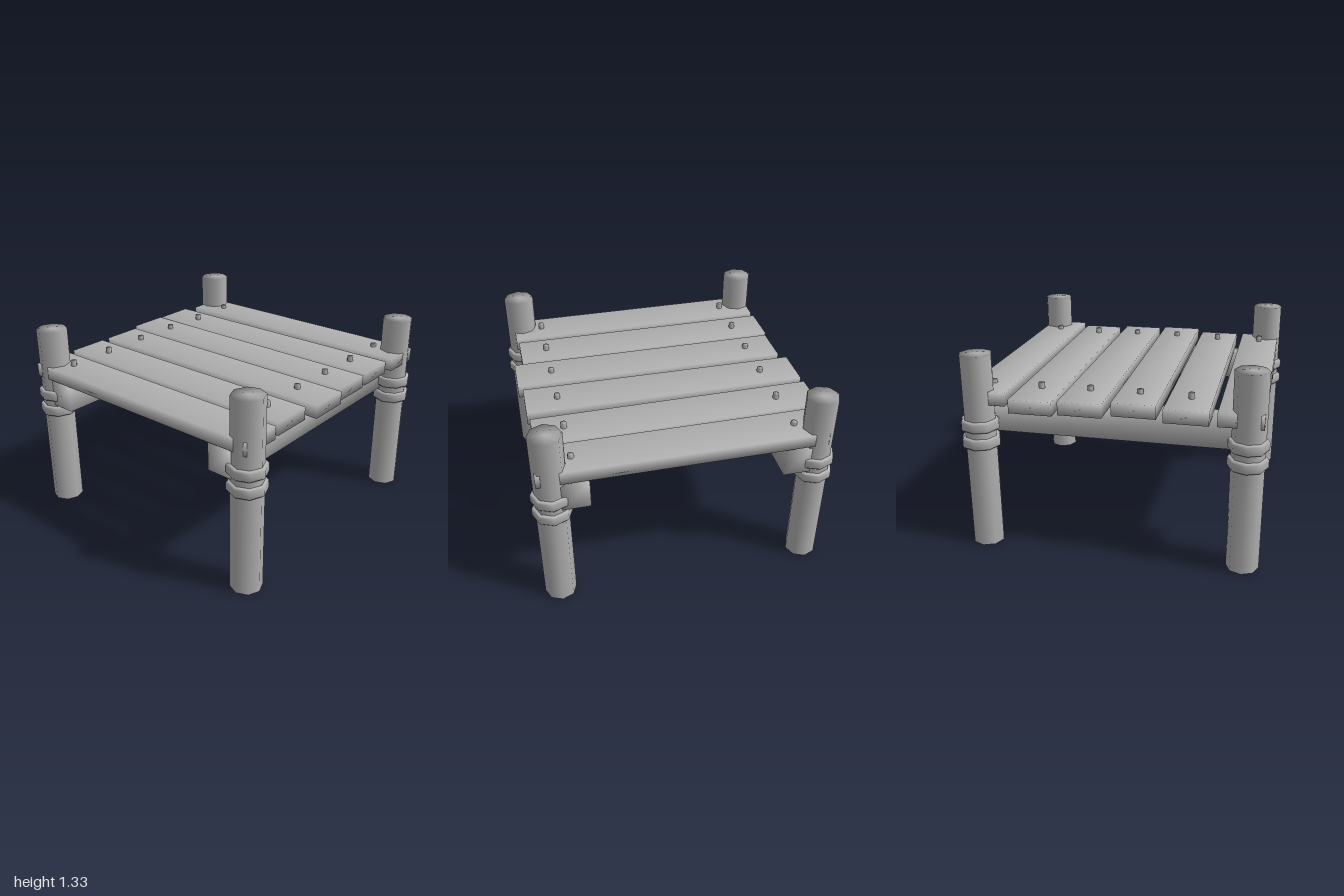
import * as THREE from 'three';
import { mergeVertices } from 'three/addons/utils/BufferGeometryUtils.js';

const wood = new THREE.MeshStandardMaterial({ color: 0xb0b0b0 });
wood.name = 'plain grey wood';

// Share every corner so shading flows softly over the edges
function soften(geometry) {
  geometry.deleteAttribute('normal');
  geometry.deleteAttribute('uv');
  const g = mergeVertices(geometry, 1e-4);
  g.computeVertexNormals();
  return g;
}

function add(parent, name, geometry, x, y, z, turn = 0) {
  const mesh = new THREE.Mesh(soften(geometry), wood);
  mesh.name = name;
  mesh.position.set(x, y, z);
  mesh.rotation.y = turn;
  parent.add(mesh);
}

export function createModel() {
  const model = new THREE.Group();
  model.name = 'plankPlatform';

  // Corner posts, each with two rope rings
  const ringProfile = [
    [0.095, -0.036], [0.12, -0.036], [0.13, -0.024],
    [0.13, 0.024], [0.12, 0.036], [0.095, 0.036],
  ].map(([r, y]) => new THREE.Vector2(r, y));
  for (const x of [-0.872, 0.872]) {
    for (const z of [-0.872, 0.872]) {
      add(model, 'post', new THREE.CylinderGeometry(0.107, 0.107, 1.33, 8), x, 0.665, z);
      for (const y of [0.74, 0.858]) {
        add(model, 'ropeRing', new THREE.LatheGeometry(ringProfile, 8), x, y, z);
      }
    }
  }

  // Cross beams under the deck
  for (const z of [-0.727, 0.727]) {
    add(model, 'crossBeam', new THREE.BoxGeometry(1.91, 0.19, 0.187), 0, 0.885, z);
  }

  // Deck planks: centre x, back z, front z, centre y, slight turn
  const planks = [
    [-0.823, -0.95, 0.93, 1.03, 0.001],
    [-0.493, -0.955, 0.915, 1.03, 0],
    [-0.167, -0.935, 0.975, 1.04, -0.002],
    [0.161, -0.98, 0.945, 1.038, -0.006],
    [0.49, -0.99, 0.93, 1.03, 0.006],
    [0.816, -0.92, 0.962, 1.045, -0.003],
  ];
  planks.forEach(([x, back, front, y, turn], i) => {
    add(model, 'plank', new THREE.BoxGeometry(0.283, 0.09, front - back), x, y, (back + front) / 2, turn);
    // Peg at each end of the plank
    for (const z of [-0.725, 0.725]) {
      add(model, 'peg', new THREE.CylinderGeometry(0.021, 0.021, 0.09, 8), -0.823 + i * 0.328, 1.068, z, Math.PI / 8);
    }
  });

  return model;
}
